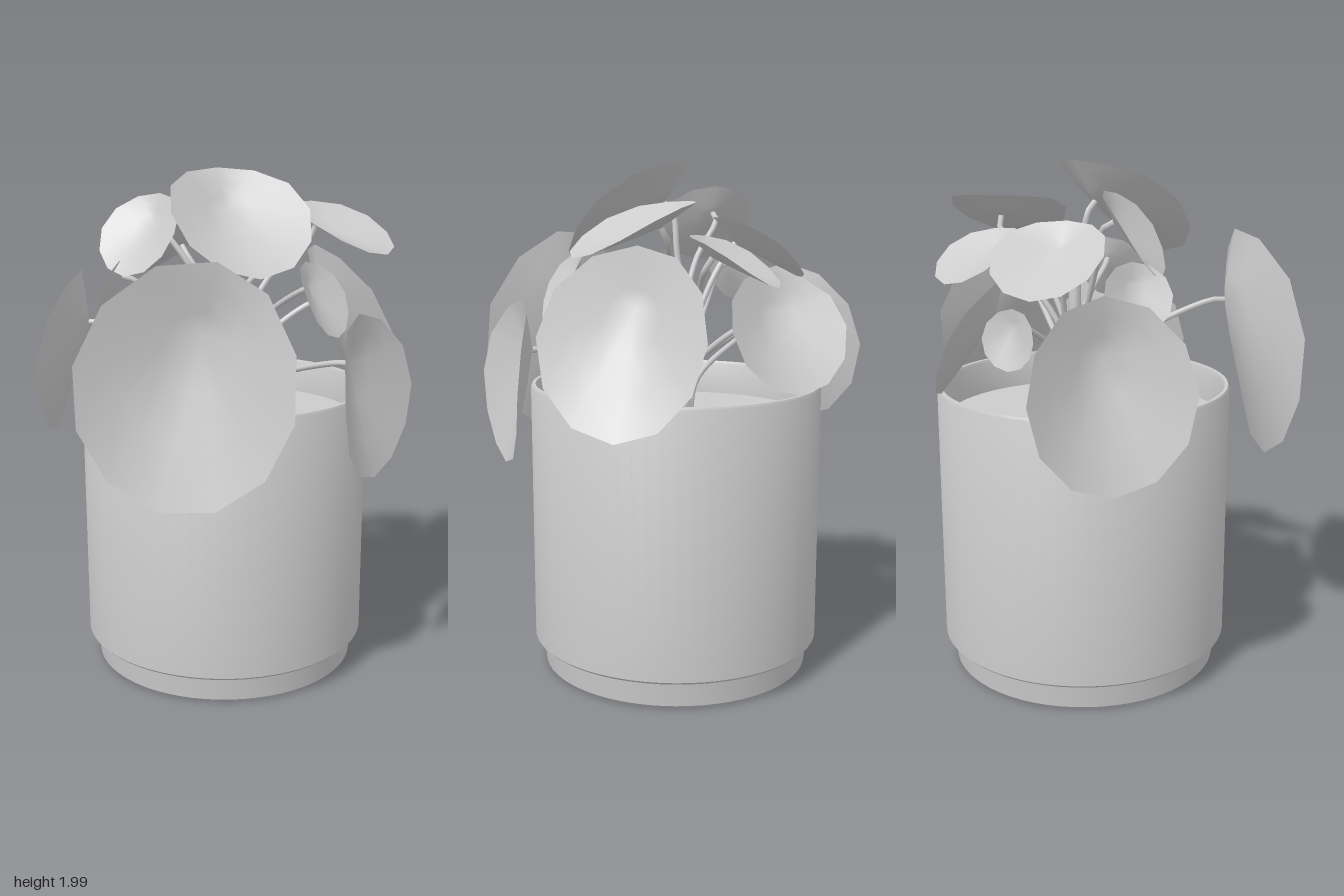
import * as THREE from 'three';
import { toCreasedNormals } from 'three/addons/utils/BufferGeometryUtils.js';

const V = (x, y, z) => new THREE.Vector3(x, y, z);
const POT = V(0.01, 0, -0.095);
const SOIL = 1.0;

// rim centre, facing direction, half width, half length, bowl depth, roll
const LEAVES = [
  { c: [-0.375, 1.27, 0.555], n: [-0.5, 0, 0.866], w: 0.395, h: 0.45, depth: 0.18, roll: 0.22 },
  { c: [0.42, 1.175, 0.475], n: [0.61, 0.03, 0.79], w: 0.285, h: 0.31, depth: 0.125 },
  { c: [0, 1.845, 0.13], n: [0, 0.71, 0.7], w: 0.275, h: 0.3, depth: 0.13 },
  { c: [0.507, 1.78, -0.07], n: [0.33, 1, 0.42], w: 0.24, h: 0.24, depth: 0.08 },
  { c: [0.27, 1.655, -0.405], n: [0, 0.83, -0.55], w: 0.18, h: 0.19, depth: 0.065 },
  { c: [-0.15, 1.685, -0.4], n: [-0.3, 0.78, -0.55], w: 0.215, h: 0.215, depth: 0.075 },
  { c: [-0.334, 1.76, -0.12], n: [-0.72, 0.5, 0.46], w: 0.185, h: 0.185, depth: 0.07 },
  { c: [-0.6, 1.25, -0.48], n: [-0.9, 0.08, -0.42], w: 0.3, h: 0.34, depth: 0.14 },
  { c: [0.58, 1.37, -0.06], n: [0.95, 0.28, 0], w: 0.315, h: 0.36, depth: 0.14 },
  { c: [0.145, 1.38, -0.575], n: [0.65, 0.38, -0.6], w: 0.245, h: 0.25, depth: 0.1 },
  { c: [0.28, 1.53, 0.29], n: [0.55, 0.4, 0.75], w: 0.14, h: 0.155, depth: 0.055 },
  { c: [-0.168, 1.4, -0.595], n: [-0.37, 0.1, -0.93], w: 0.105, h: 0.11, depth: 0.04 },
  { c: [-0.435, 1.545, -0.22], n: [-0.9, 0.3, -0.35], w: 0.13, h: 0.13, depth: 0.05 },
];

// Saddle-shaped bowl: rings grow from the off-centre stalk joint to a 12-sided
// rim whose top, and less so bottom, is pulled back towards the joint
function leafGeometry(w, h, joint) {
  const SIDES = 12, RINGS = 3;
  const pos = [joint.x, joint.y, joint.z], index = [];
  for (let r = 1; r <= RINGS; r++) {
    const t = r / RINGS;
    for (let i = 0; i < SIDES; i++) {
      const a = (i / SIDES) * Math.PI * 2, s = Math.sin(a);
      const rimZ = joint.z * s * s * (s > 0 ? 0.7 : 0.2);
      pos.push(
        joint.x * (1 - t) + Math.cos(a) * w * t,
        joint.y * (1 - t) + s * h * t,
        joint.z + (rimZ - joint.z) * Math.pow(t, 1.1),
      );
      const j = (i + 1) % SIDES, o = 1 + (r - 1) * SIDES, p = o - SIDES;
      if (r === 1) index.push(0, o + i, o + j);
      else index.push(p + i, o + i, o + j, p + i, o + j, p + j);
    }
  }
  const g = new THREE.BufferGeometry();
  g.setAttribute('position', new THREE.Float32BufferAttribute(pos, 3));
  g.setIndex(index);
  g.computeVertexNormals();
  return g;
}

export function createModel() {
  const group = new THREE.Group();
  const solid = new THREE.MeshStandardMaterial({ color: 0xcccccc });
  const thin = new THREE.MeshStandardMaterial({ color: 0xcccccc, side: THREE.DoubleSide });
  const add = (name, geo, mat, parent = group) => {
    const m = new THREE.Mesh(geo, mat);
    m.name = name;
    parent.add(m);
    return m;
  };

  // Pot with a stepped foot and thin rim
  const profile = [
    [0, 0], [0.518, 0], [0.528, 0.01], [0.538, 0.11], [0.56, 0.11], [0.57, 0.12],
    [0.57, 1.13], [0.565, 1.14], [0.552, 1.14], [0.547, 1.13], [0.547, SOIL - 0.02],
  ].map(([r, y]) => new THREE.Vector2(r, y));
  const pot = add('pot', toCreasedNormals(new THREE.LatheGeometry(profile, 64), 0.6), solid);
  pot.position.copy(POT);

  // Soil
  const soil = add('soil', new THREE.CircleGeometry(0.55, 64).rotateX(-Math.PI / 2), solid);
  soil.position.set(POT.x, SOIL, POT.z);

  // Main stem
  const trunk = new THREE.CatmullRomCurve3([
    V(0.03, SOIL - 0.02, -0.13), V(0.03, 1.2, -0.14), V(0.02, 1.4, -0.13), V(0.03, 1.58, -0.12),
  ]);
  add('mainStem', new THREE.TubeGeometry(trunk, 12, 0.024, 8), solid);

  // Leaves, each on its own curved stalk
  LEAVES.forEach(({ c, n, w, h, depth, roll = 0 }, i) => {
    const centre = V(...c), N = V(...n).normalize();
    const U = V(0, 1, 0).cross(N).normalize();
    const frame = new THREE.Matrix4().makeBasis(U, N.clone().cross(U), N);
    frame.multiply(new THREE.Matrix4().makeRotationZ(-roll)).setPosition(centre);

    const joint = V(0, h * 0.38, -depth);
    const leaf = new THREE.Group();
    leaf.name = 'leaf' + (i + 1);
    group.add(leaf);
    add('blade', leafGeometry(w, h, joint).applyMatrix4(frame), thin, leaf);

    const end = joint.clone().applyMatrix4(frame);
    const a = i * 2.4;
    const base = V(0.03 + 0.025 * Math.cos(a), SOIL - 0.02, -0.13 + 0.025 * Math.sin(a));
    const d = end.clone().sub(base);
    const path = new THREE.CatmullRomCurve3([
      base,
      base.clone().add(V(d.x * 0.07, d.y * 0.42, d.z * 0.07)),
      base.clone().add(V(d.x * 0.5, d.y * 0.78, d.z * 0.5)),
      end.clone().addScaledVector(N, -0.05),
      end,
    ]);
    add('stalk', new THREE.TubeGeometry(path, 20, 0.012, 7), solid, leaf);
  });

  return group;
}
